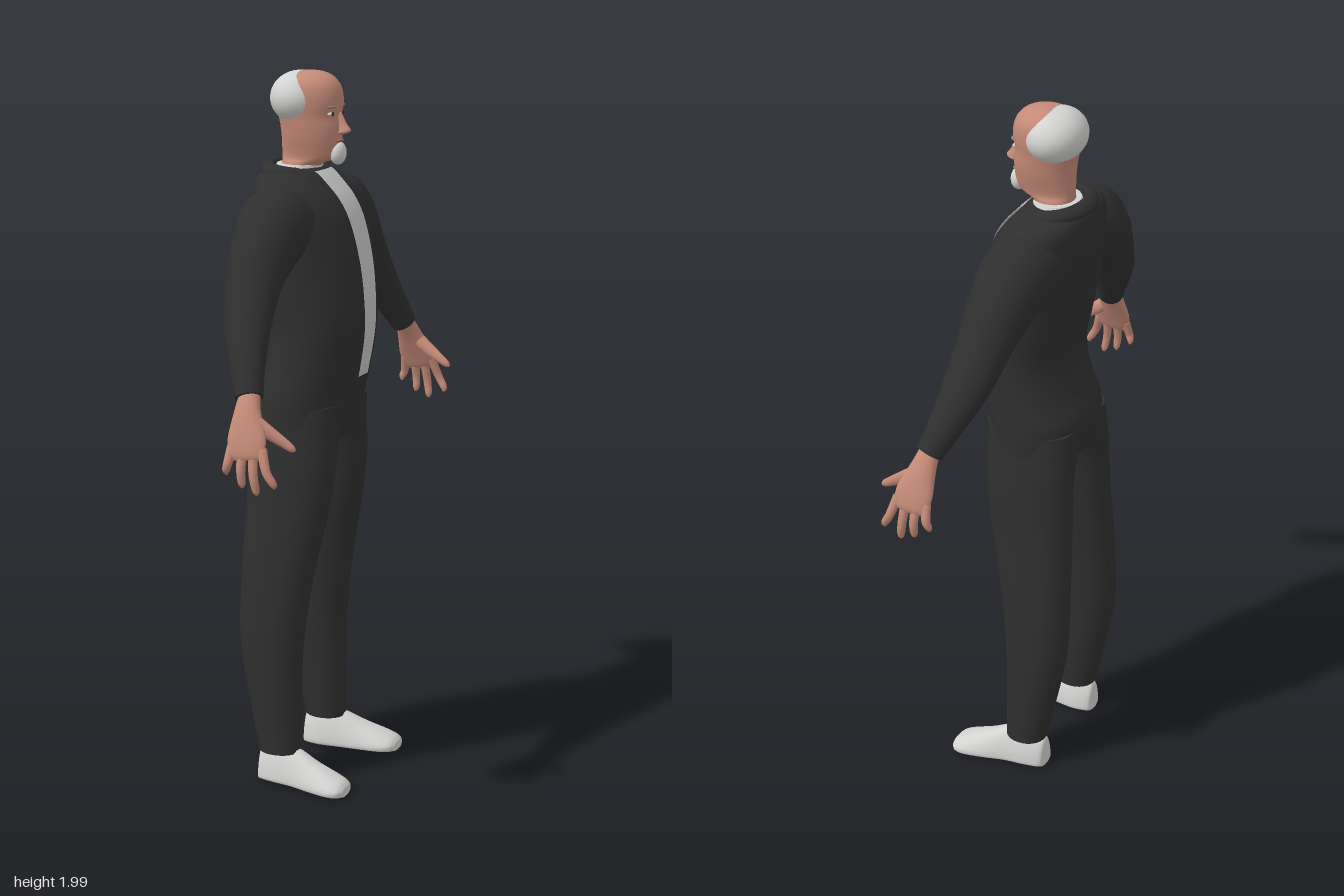
import * as THREE from 'three';

const mat = (name, color, side = THREE.FrontSide) => {
  const m = new THREE.MeshStandardMaterial({ color, side });
  m.name = name;
  return m;
};
const V = (x, y, z) => new THREE.Vector3(x, y, z);

// Smoothly subdivide rows of section values
function dense(rows, k = 5) {
  const out = [], at = i => rows[Math.max(0, Math.min(rows.length - 1, i))];
  for (let i = 0; i < rows.length - 1; i++) {
    for (let j = 0; j < k; j++) {
      const t = j / k;
      out.push(rows[i].map((b, c) => {
        const a = at(i - 1)[c], d = at(i + 1)[c], e = at(i + 2)[c];
        return b + 0.5 * t * (d - a + t * (2 * a - 5 * b + 4 * d - e + t * (3 * (b - d) + e - a)));
      }));
    }
  }
  out.push(rows[rows.length - 1]);
  return out;
}

// Closed skin through rings of points, with capped ends facing outward
function loft(rings) {
  const n = rings[0].length, pos = [], idx = [];
  rings.forEach(r => r.forEach(p => pos.push(p.x, p.y, p.z)));
  for (let i = 0; i < rings.length - 1; i++) {
    for (let j = 0; j < n; j++) {
      const a = i * n + j, b = i * n + (j + 1) % n;
      idx.push(a, b, b + n, a, b + n, a + n);
    }
  }
  [0, rings.length - 1].forEach((ri, end) => {
    const base = pos.length / 3, c = V(0, 0, 0);
    rings[ri].forEach(p => { pos.push(p.x, p.y, p.z); c.add(p); });
    c.divideScalar(n);
    pos.push(c.x, c.y, c.z);
    for (let j = 0; j < n; j++) {
      const a = base + j, b = base + (j + 1) % n;
      end ? idx.push(base + n, a, b) : idx.push(base + n, b, a);
    }
  });
  // Turn the skin the right way out by its signed volume
  let vol = 0;
  const pt = i => V(pos[3 * i], pos[3 * i + 1], pos[3 * i + 2]);
  for (let i = 0; i < idx.length; i += 3) vol += pt(idx[i]).dot(pt(idx[i + 1]).cross(pt(idx[i + 2])));
  if (vol < 0) for (let i = 0; i < idx.length; i += 3) [idx[i], idx[i + 1]] = [idx[i + 1], idx[i]];
  const g = new THREE.BufferGeometry();
  g.setAttribute('position', new THREE.Float32BufferAttribute(pos, 3));
  g.setIndex(idx);
  g.computeVertexNormals();
  return g;
}

const spow = (v, e) => Math.sign(v) * Math.abs(v) ** e;
const ring = (f, n = 32) => Array.from({ length: n }, (_, j) => {
  const a = j / n * Math.PI * 2;
  return f(Math.cos(a), Math.sin(a));
});
// Upright body: rows of [y, back x, front x, inner z, outer z]
const upright = (rows, pw = 2) => loft(dense(rows).map(([y, b, f, i, o]) => ring((c, s) =>
  V((b + f) / 2 + (f - b) / 2 * spow(c, 2 / pw), y, (i + o) / 2 + (o - i) / 2 * spow(s, 2 / pw)))));
const sym = rows => rows.map(([y, b, f, w]) => [y, b, f, -w, w]);
// Limb: rows of [x, y, z, radius along x, radius across]
function limb(rows, side, k = 5, n = 20) {
  const d = dense(rows, k).map(r => [r[0], r[1], r[2] * side, r[3], r[4]]);
  const P = d.map(r => V(r[0], r[1], r[2]));
  return loft(d.map((r, i) => {
    const t = P[Math.min(i + 1, d.length - 1)].clone().sub(P[Math.max(i - 1, 0)]).normalize();
    const u = V(1, 0, 0).addScaledVector(t, -t.x).normalize(), v = t.clone().cross(u);
    return ring((c, s) => P[i].clone().addScaledVector(u, c * r[3]).addScaledVector(v, s * r[4]), n);
  }));
}

const TORSO = [
  [1.04, -.162, .1, .187], [1.12, -.167, .115, .187], [1.2, -.137, .132, .181], [1.3, -.119, .147, .18],
  [1.4, -.138, .146, .186], [1.5, -.156, .134, .195], [1.6, -.165, .108, .207], [1.66, -.165, .077, .205],
  [1.7, -.163, .042, .185], [1.725, -.155, .018, .145], [1.74, -.13, 0, .09]];
const TORSO_POWER = 2.15;

export function createModel() {
  const model = new THREE.Group();
  const dark = mat('charcoal cloth', 0x2f2f2f);
  const white = mat('white shoe and hair', 0xd2d2d0);
  const shirtMat = mat('light shirt', 0xc6c6c6, THREE.DoubleSide);
  const skin = mat('skin', 0xc48a77);
  const eyeMat = mat('dark eye', 0x3a2c28);
  const lipMat = mat('lips', 0xa2604f);
  const browMat = mat('grey brow', 0x8f7a70);
  const add = (name, g, m) => {
    const o = new THREE.Mesh(g, m);
    o.name = name;
    model.add(o);
    return o;
  };
  const blob = (name, m, p, r) => {
    const o = add(name, new THREE.SphereGeometry(1, 32, 24), m);
    o.position.set(...p);
    o.scale.set(...r);
    return o;
  };

  // Jacket body and trouser seat
  add('jacket', upright(sym(TORSO), TORSO_POWER), dark);
  add('trouserSeat', upright(sym([[.975, -.1, .03, .03], [.995, -.135, .07, .07], [1.03, -.155, .09, .16], [1.08, -.15, .09, .17]])), dark);

  // Shirt front: a strip that follows the chest
  const body = dense(TORSO, 12);
  const shirt = new THREE.PlaneGeometry(1, 1, 8, 40), sp = shirt.attributes.position;
  for (let i = 0; i < sp.count; i++) {
    const t = sp.getY(i) + .5, y = 1.17 + t * .562, z = -sp.getX(i) * 2 * (.032 + .021 * t);
    const k = Math.max(1, body.findIndex(r => r[0] >= y)), A = body[k - 1], B = body[k];
    const [, b, f, w] = A.map((a, c) => a + (B[c] - a) * (y - A[0]) / (B[0] - A[0]));
    const x = (b + f) / 2 + (f - b) / 2 * (1 - Math.abs(z / w) ** TORSO_POWER) ** (1 / TORSO_POWER);
    sp.setXYZ(i, x + .005, y + .002, z);
  }
  shirt.computeVertexNormals();
  add('shirtFront', shirt, shirtMat);
  add('shirtCollar', upright(sym([[1.7, -.13, 0, .085], [1.73, -.128, .002, .08], [1.748, -.122, 0, .072]])), white);

  // Jacket collar, open at the throat
  const collar = [];
  for (let i = 0; i <= 48; i++) {
    const t = i / 48, a = .42 + t * (Math.PI * 2 - .84), taper = .35 + .65 * Math.min(1, 8 * t, 8 * (1 - t));
    const c = Math.cos(a), s = Math.sin(a);
    collar.push(ring((p, q) => {
      const d = p * .02 * taper;
      return V(-.066 + c * (.08 + d), 1.732 - c * .008 + q * .016 * taper - p * .006, s * (.104 + d));
    }, 12));
  }
  add('jacketCollar', loft(collar), dark);

  // Head and neck
  add('head', upright(sym([
    [1.7, -.105, -.01, .058], [1.745, -.108, .002, .058], [1.765, -.11, .046, .053], [1.79, -.11, .058, .058],
    [1.82, -.11, .061, .066], [1.85, -.113, .062, .071], [1.88, -.118, .058, .075], [1.91, -.12, .063, .079],
    [1.94, -.12, .061, .08], [1.965, -.112, .052, .074], [1.985, -.092, .033, .056], [1.996, -.065, .008, .032],
    [2, -.035, -.025, .004]])), skin);
  blob('hair', white, [-.057, 1.925, 0], [.081, .0735, .098]).rotation.z = -.12;
  blob('goatee', white, [.053, 1.78, 0], [.022, .032, .029]);
  add('nose', upright([
    [1.828, .05, .06, -.006, .006], [1.835, .05, .082, -.015, .015], [1.843, .05, .09, -.014, .014],
    [1.86, .045, .078, -.009, .009], [1.89, .04, .063, -.006, .006]]), skin);
  blob('mouth', lipMat, [.058, 1.814, 0], [.008, .005, .022]);

  for (const s of [1, -1]) {
    const side = s > 0 ? 'Left' : 'Right';
    // Side whose z is negative is the model's own left when facing +x; names follow the +z front frame
    blob('eye' + side, white, [.045, 1.888, s * .033], [.008, .006, .013]);
    blob('pupil' + side, eyeMat, [.05, 1.888, s * .033], [.005, .006, .007]);
    const brow = blob('brow' + side, browMat, [.048, 1.907, s * .034], [.01, .004, .017]);
    brow.rotation.y = s * -.4;

    // Sleeve
    add('sleeve' + side, limb([
      [-.045, 1.61, .1, .105, .085], [-.045, 1.595, .2, .1, .108], [-.04, 1.53, .295, .085, .092],
      [-.034, 1.47, .35, .075, .071], [-.018, 1.375, .42, .064, .055], [.012, 1.28, .482, .047, .043],
      [.036, 1.212, .522, .037, .037]], s), dark);

    // Hand: palm, four fingers and thumb
    add('palm' + side, limb([
      [.036, 1.225, .515, .026, .025], [.042, 1.18, .545, .036, .025], [.053, 1.12, .573, .053, .021],
      [.06, 1.08, .587, .05, .016], [.062, 1.065, .59, .04, .01]], s), skin);
    [[.016, .003, 1.02], [.045, .048, .99], [.075, .088, .975], [.1, .137, .997]].forEach(([x, tx, ty], i) =>
      add('finger' + side + (i + 1), limb([
        [x, 1.095, .582, .014, .012], [(x + tx) / 2, (1.085 + ty) / 2, .596, .012, .011],
        [tx, ty + .012, .593, .01, .009], [tx, ty, .589, .003, .003]], s, 4, 12), skin));
    add('thumb' + side, limb([
      [.06, 1.165, .556, .02, .018], [.1, 1.135, .549, .019, .015], [.14, 1.11, .543, .014, .012],
      [.165, 1.094, .54, .01, .009], [.174, 1.088, .539, .003, .003]], s, 4, 12), skin);

    // Trouser leg
    add('trouserLeg' + side, upright([
      [.1, -.11, .008, .103, .214], [.2, -.132, .008, .094, .217], [.4, -.17, .011, .082, .221],
      [.6, -.173, .036, .066, .213], [.8, -.166, .075, .038, .199], [.92, -.163, .091, .026, .193],
      [.98, -.163, .092, .015, .189], [1.03, -.162, .094, -.005, .185], [1.1, -.157, .098, -.01, .178]]
      .map(([y, b, f, i, o]) => [y, b, f, s * i, s * o]), 2.15), dark);

    // Shoe: sections along x of [x, middle z, half width, height]
    add('shoe' + side, loft(dense([
      [-.113, .155, .02, .075], [-.105, .155, .036, .095], [-.06, .156, .047, .112], [0, .163, .049, .105],
      [.06, .174, .056, .078], [.12, .184, .06, .054], [.152, .188, .05, .039], [.165, .189, .03, .026]])
      .map(([x, z, w, h]) => ring((c, q) => V(x, .006 + (q > 0 ? .018 + (h - .018) * q : .018 + .018 * spow(q, .5)),
        s * z + w * spow(c, .8) * (q > 0 ? 1 - .2 * q : 1))))), white);
  }
  return model;
}
